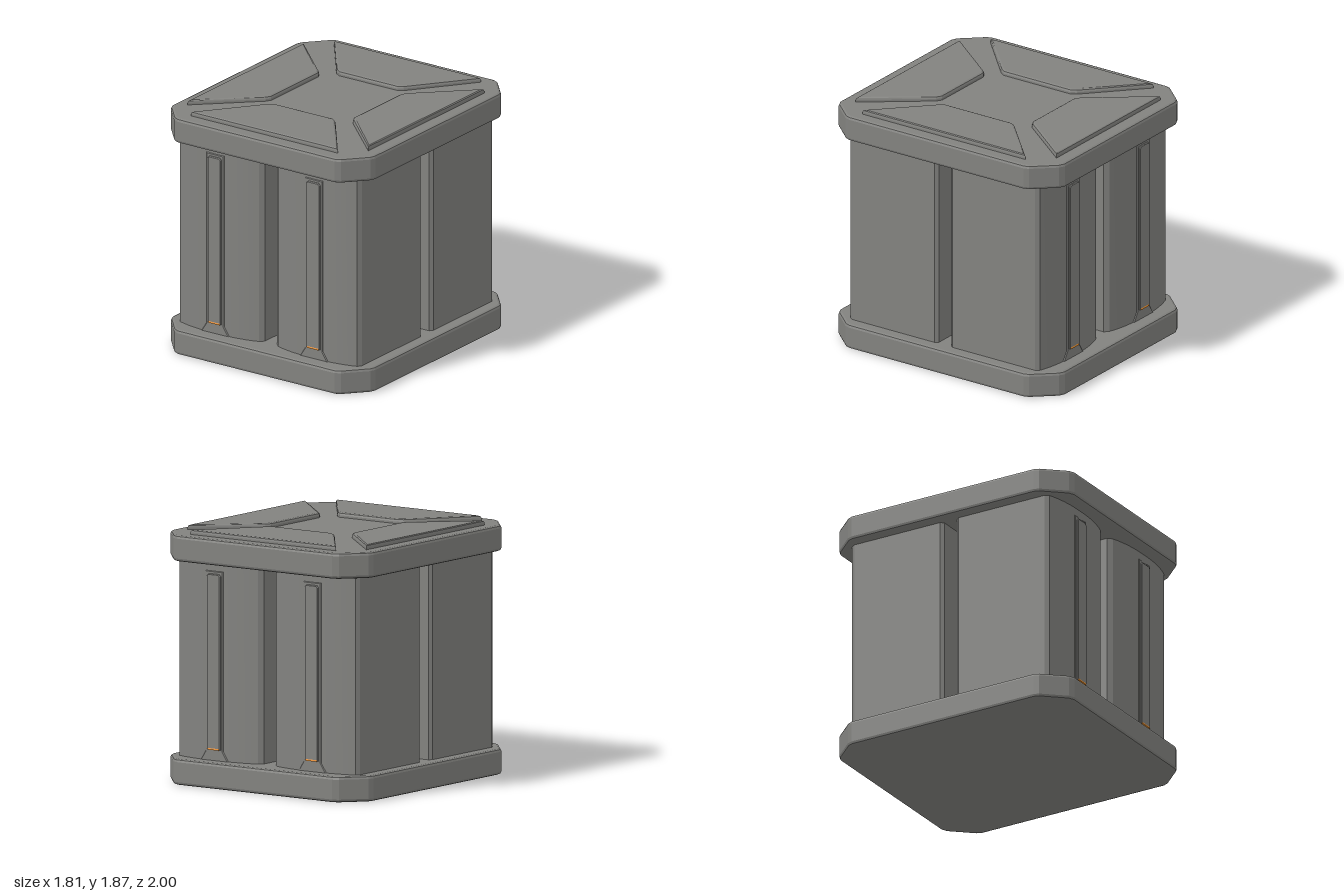
import * as THREE from 'three';
import { toCreasedNormals } from 'three/addons/utils/BufferGeometryUtils.js';

const darkGrey = new THREE.MeshStandardMaterial({ color: 0x82827f });
const orange = new THREE.MeshStandardMaterial({ color: 0xe98f2e });

const toShape = (pts) => new THREE.Shape(pts.map(([x, y]) => new THREE.Vector2(x, y)));

// Upright prism: an (x, z) outline between two heights, edges chamfered inward
function prism(pts, y0, y1, bevel = 0) {
  const geo = new THREE.ExtrudeGeometry(toShape(pts.map(([x, z]) => [x, -z])), {
    depth: y1 - y0 - 2 * bevel, bevelEnabled: bevel > 0,
    bevelSize: bevel, bevelThickness: bevel, bevelOffset: -bevel, bevelSegments: 2,
  });
  return geo.rotateX(-Math.PI / 2).translate(0, y0 + bevel, 0);
}

// Front-facing plate: an (x, y) shape whose chamfered face lies at the given z
function plate(shape, z, depth, bevel) {
  return new THREE.ExtrudeGeometry(shape, {
    depth: depth - 2 * bevel, bevelSize: bevel, bevelThickness: bevel,
    bevelOffset: -bevel, bevelSegments: 1,
  }).translate(0, 0, z - depth + bevel);
}

function add(parent, name, geo, material = darkGrey) {
  const mesh = new THREE.Mesh(geo, material);
  mesh.name = name;
  parent.add(mesh);
}

// Rectangle with its corners cut, each cut softened by short facets
function slabOutline() {
  const corner = [[0.905, 0.775], [0.89, 0.815], [0.745, 0.978], [0.7, 1]];
  const flip = (sx, sz) => corner.map(([x, z]) => [x * sx, z * sz]);
  return [...flip(1, 1), ...flip(-1, 1).reverse(), ...flip(-1, -1), ...flip(1, -1).reverse()];
}

// Quarter block: flat side, chamfered corners and a gently bulging front
function pillarOutline() {
  const pts = [[0.055, 0.055], [0.055, 0.81]];
  for (let i = 0; i <= 14; i++) {
    const t = (i / 14) * 2 - 1;
    pts.push([0.4375 + 0.3525 * t, 0.84 + 0.048 * (1 - Math.abs(t) ** 2.5)]);
  }
  return [...pts, [0.81, 0.81], [0.81, 0.08], [0.79, 0.055]];
}

// Recessed light in a slim frame on a low surround, facing +z
function lightStrip() {
  const group = new THREE.Group();
  const surround = toShape([[-0.13, 0.18], [0.13, 0.18], [0.082, 0.26], [0.082, 1.585], [-0.082, 1.585], [-0.082, 0.26]]);
  add(group, 'stripSurround', plate(surround, 0.893, 0.07, 0.01));

  const frame = toShape([[-0.06, 0.27], [0.06, 0.27], [0.06, 1.545], [0.045, 1.56], [-0.045, 1.56], [-0.06, 1.545]]);
  frame.holes.push(new THREE.Path([[-0.036, 0.282], [-0.036, 1.55], [0.036, 1.55], [0.036, 0.282]]
    .map(([x, y]) => new THREE.Vector2(x, y))));
  add(group, 'stripFrame', plate(frame, 0.905, 0.06, 0.006));

  add(group, 'stripLight', new THREE.BoxGeometry(0.088, 1.27, 0.06).translate(0, 0.917, 0.866), orange);
  // Sloping foot at the lower end of the light
  const foot = new THREE.ExtrudeGeometry(
    toShape([[0.85, 0.268], [0.907, 0.268], [0.907, 0.276], [0.895, 0.3], [0.85, 0.3]]),
    { depth: 0.1, bevelEnabled: false });
  add(group, 'stripFoot', foot.rotateY(-Math.PI / 2).translate(0.05, 0, 0), orange);
  return group;
}

export function createModel() {
  const model = new THREE.Group();
  model.name = 'container';

  // Base and lid slabs
  add(model, 'baseSlab', prism(slabOutline(), 0, 0.19, 0.022));
  add(model, 'lidSlab', prism(slabOutline(), 1.64, 1.83, 0.022));

  // Raised trapezoid panels on the lid, inner corners slightly cut
  for (const s of [-1, 1]) {
    const endPanel = [[-0.655, 0.892 * s], [0.655, 0.892 * s], [0.3, 0.425 * s],
      [0.26, 0.4 * s], [-0.26, 0.4 * s], [-0.3, 0.425 * s]];
    const sidePanel = [[0.805 * s, -0.725], [0.805 * s, 0.725], [0.39 * s, 0.335],
      [0.367 * s, 0.295], [0.367 * s, -0.295], [0.39 * s, -0.335]];
    add(model, s > 0 ? 'frontLidPanel' : 'backLidPanel', prism(endPanel, 1.8, 1.865, 0.02));
    add(model, s > 0 ? 'leftLidPanel' : 'rightLidPanel', prism(sidePanel, 1.8, 1.865, 0.02));
  }

  // Inner core, clear of both slabs
  const core = [[-0.55, -0.6], [0.55, -0.6], [0.55, 0.6], [-0.55, 0.6]];
  add(model, 'core', prism(core, 0.25, 1.61, 0.02));

  // Four pillars, with a light strip on the front or back of each
  for (const sz of [1, -1]) {
    for (const sx of [1, -1]) {
      const where = (sz > 0 ? 'front' : 'back') + (sx > 0 ? 'Left' : 'Right');
      const outline = pillarOutline().map(([x, z]) => [x * sx, z * sz]);
      add(model, where + 'Pillar', toCreasedNormals(prism(outline, 0.17, 1.66), 0.3));
      const strip = lightStrip();
      strip.name = where + 'LightStrip';
      strip.position.x = 0.44 * sx;
      strip.rotation.y = sz > 0 ? 0 : Math.PI;
      model.add(strip);
    }
  }
  return model;
}
